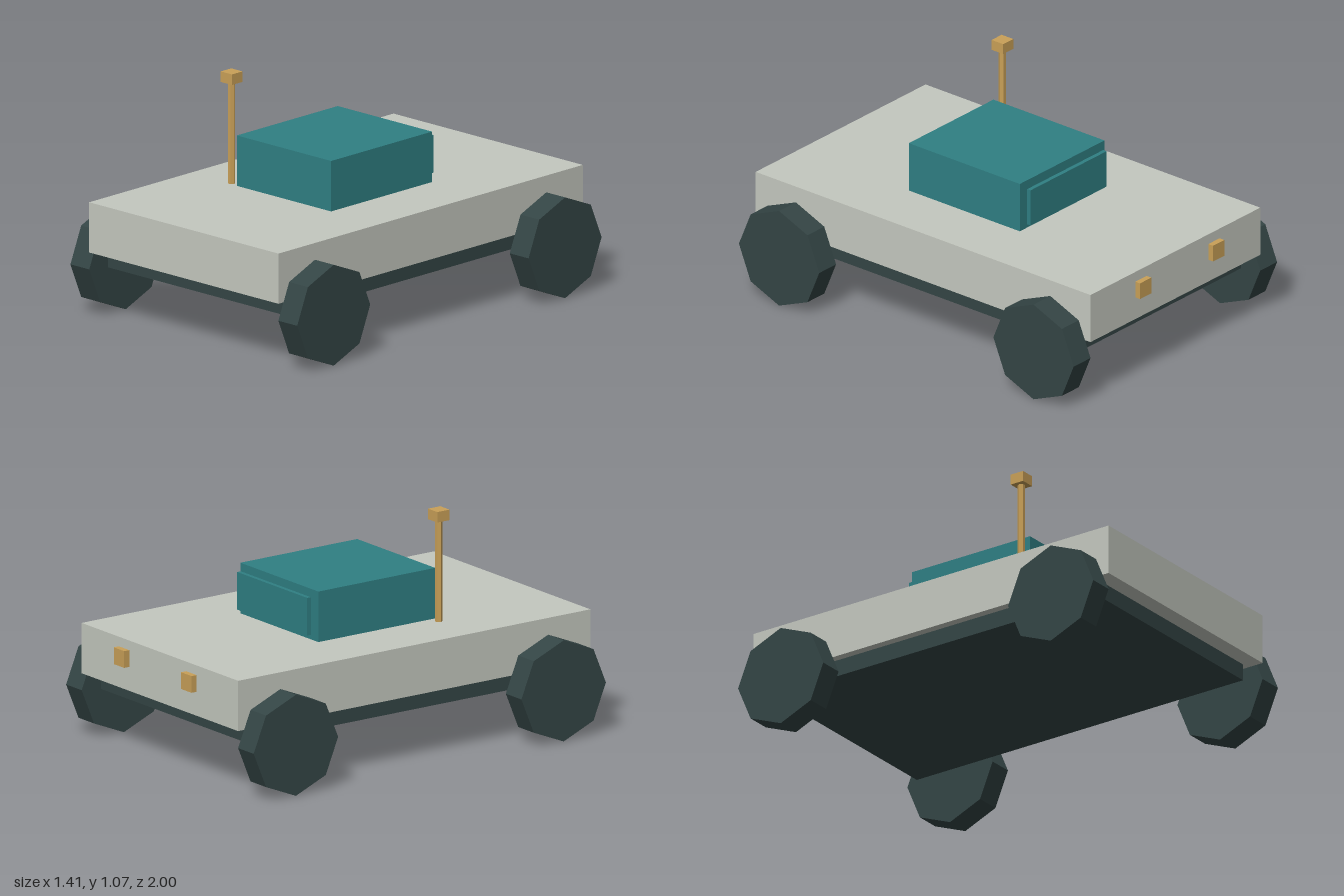
import * as THREE from 'three';

const mat = (name, color) => {
  const m = new THREE.MeshStandardMaterial({ color });
  m.name = name;
  return m;
};

export function createModel() {
  const hullGrey = mat('pale grey', 0xc4c8bf);
  const teal = mat('teal', 0x2f7f83);
  const dark = mat('dark slate', 0x344545);
  const brass = mat('brass', 0xc9a057);
  const group = new THREE.Group();

  const add = (name, geometry, material, x, y, z) => {
    const mesh = new THREE.Mesh(geometry, material);
    mesh.name = name;
    mesh.position.set(x, y, z);
    group.add(mesh);
    return mesh;
  };
  // Box given by its extents on each axis
  const box = (name, material, [x0, x1], [y0, y1], [z0, z1]) =>
    add(name, new THREE.BoxGeometry(x1 - x0, y1 - y0, z1 - z0), material,
      (x0 + x1) / 2, (y0 + y1) / 2, (z0 + z1) / 2);

  // Body slab over a slightly smaller chassis
  box('body', hullGrey, [-0.588, 0.588], [0.316, 0.55], [-0.96, 1]);
  box('chassis', dark, [-0.549, 0.549], [0.238, 0.316], [-0.88, 0.92]);

  // Cabin with a separate panel behind it
  box('cabin', teal, [-0.294, 0.292], [0.55, 0.785], [-0.296, 0.354]);
  box('rearPanel', teal, [-0.263, 0.263], [0.58, 0.755], [-0.335, -0.315]);

  // Eight-sided wheels, corners pointing straight up and down
  const wheelGeometry = new THREE.CylinderGeometry(0.235, 0.235, 0.117, 8).toNonIndexed();
  wheelGeometry.rotateZ(Math.PI / 2);
  wheelGeometry.computeVertexNormals();
  for (const side of [-1, 1]) {
    const label = side > 0 ? 'Left' : 'Right';
    add('frontWheel' + label, wheelGeometry, dark, side * 0.646, 0.237, 0.765);
    add('rearWheel' + label, wheelGeometry, dark, side * 0.646, 0.237, -0.725);
    // Rear lamps
    const x = side * 0.253;
    box('rearLamp' + label, brass, [x - 0.039, x + 0.039], [0.433, 0.511], [-1, -0.972]);
  }

  // Six-sided mast with a square head
  const mastGeometry = new THREE.CylinderGeometry(0.017, 0.017, 0.475, 6).toNonIndexed();
  mastGeometry.rotateY(Math.PI / 2);
  mastGeometry.computeVertexNormals();
  add('mast', mastGeometry, brass, -0.34, 0.7875, 0.34);
  box('mastHead', brass, [-0.375, -0.305], [1.022, 1.071], [0.306, 0.374]);

  return group;
}
